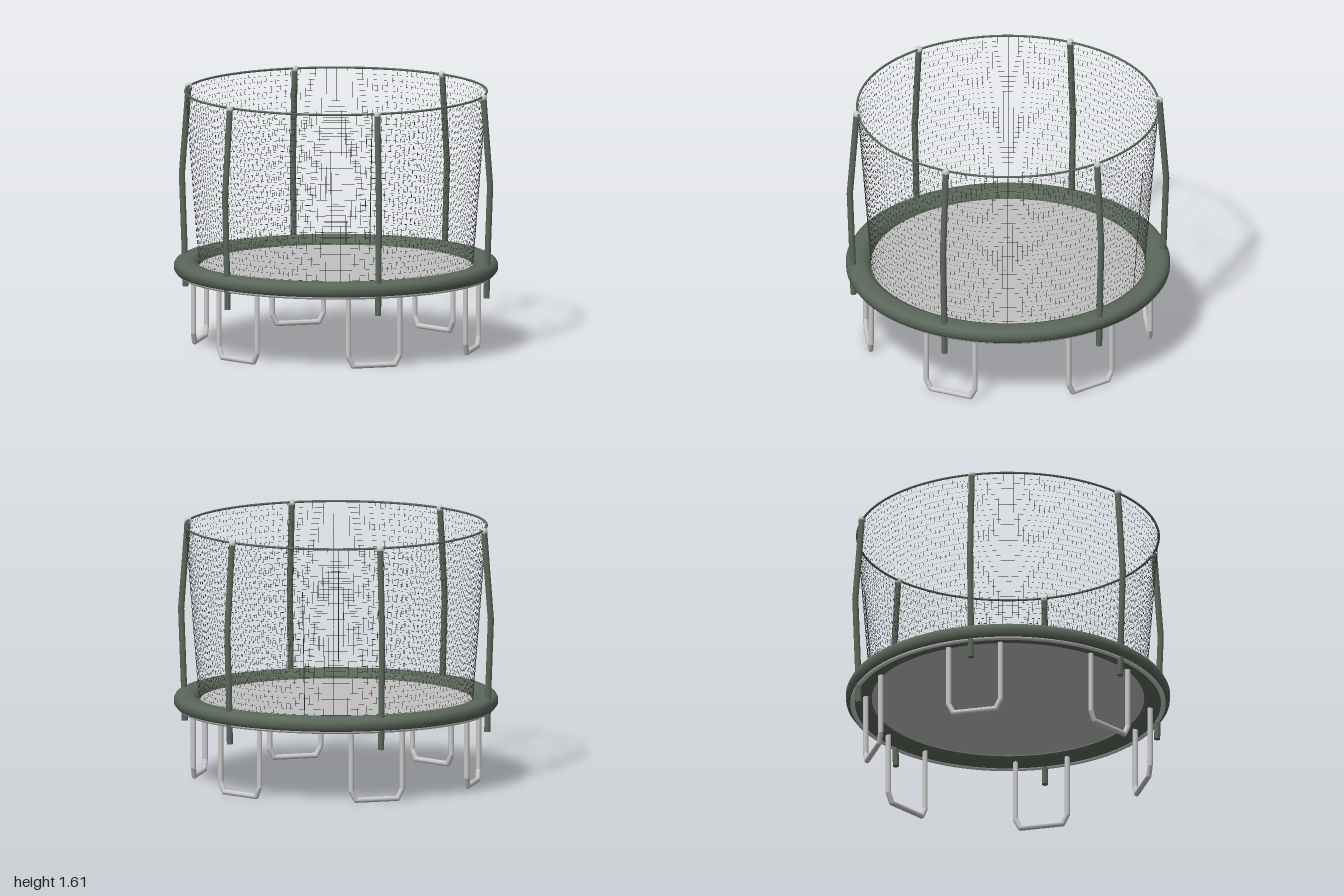
import * as THREE from 'three';
import { mergeGeometries } from 'three/addons/utils/BufferGeometryUtils.js';

const mat = (name, color, side = THREE.FrontSide) => {
  const m = new THREE.MeshStandardMaterial({ color, side });
  m.name = name;
  return m;
};

const V = (x, y, z) => new THREE.Vector3(x, y, z);

// Round bar between two points
function bar(a, b, r, sides = 12, open = false) {
  const d = b.clone().sub(a);
  const g = new THREE.CylinderGeometry(r, r, d.length(), sides, 1, open);
  g.applyQuaternion(new THREE.Quaternion().setFromUnitVectors(V(0, 1, 0), d.normalize()));
  const c = a.clone().add(b).multiplyScalar(0.5);
  return g.translate(c.x, c.y, c.z);
}

// Bent tube: bars joined with balls at the bends
function bentTube(points, r) {
  const parts = [];
  points.forEach((p, i) => {
    if (i > 0) parts.push(bar(points[i - 1], p, r));
    if (i > 0 && i < points.length - 1) {
      parts.push(new THREE.SphereGeometry(r, 12, 8).translate(p.x, p.y, p.z));
    }
  });
  return mergeGeometries(parts);
}

const ring = (radius, tube, y, sides, steps) =>
  new THREE.TorusGeometry(radius, tube, sides, steps).rotateX(Math.PI / 2).translate(0, y, 0);

export function createModel() {
  const group = new THREE.Group();
  group.name = 'trampoline';

  const green = mat('padGreen', 0x5c685c);
  const steel = mat('steel', 0xcacaca);
  const matGrey = mat('matGrey', 0xc0c1c0, THREE.DoubleSide);
  const netDark = mat('netDark', 0x303230, THREE.DoubleSide);

  const add = (name, geo, material, parent = group) => {
    const m = new THREE.Mesh(geo, material);
    m.name = name;
    parent.add(m);
    return m;
  };

  // Padded rim
  const profile = [
    [0.84, 0.49], [0.87, 0.463], [0.95, 0.455], [0.982, 0.463], [0.998, 0.485],
    [1.0, 0.515], [0.988, 0.538], [0.965, 0.55], [0.9, 0.55], [0.86, 0.535], [0.84, 0.49],
  ].map(([r, y]) => new THREE.Vector2(r, y));
  add('rimPad', new THREE.LatheGeometry(profile, 96), green);

  // Steel frame under the pad
  add('frameRing', ring(0.957, 0.0145, 0.459, 10, 96), steel);

  // Jumping mat
  add('jumpingMat', new THREE.CircleGeometry(0.85, 96).rotateX(-Math.PI / 2).translate(0, 0.5, 0), matGrey);

  // Six poles and six U-shaped legs
  const poleGeo = bentTube([V(0.957, 0.34, 0), V(0.963, 0.58, 0), V(0.98, 1.04, 0), V(0.938, 1.585, 0)], 0.0195);
  const capGeo = new THREE.SphereGeometry(0.0225, 16, 12).translate(0.937, 1.588, 0);
  const lx = 0.865, half = 0.164, foot = 0.134;
  const legGeo = bentTube([
    V(lx, 0.475, half), V(lx, 0.075, half), V(lx, 0.0165, foot),
    V(lx, 0.0165, -foot), V(lx, 0.075, -half), V(lx, 0.475, -half),
  ], 0.0165);
  for (let i = 0; i < 6; i++) {
    const post = new THREE.Group();
    post.name = `post${i + 1}`;
    post.rotation.y = (i * Math.PI) / 3;
    add('pole', poleGeo, green, post);
    add('poleCap', capGeo, steel, post);
    add('leg', legGeo, steel, post);
    group.add(post);
  }

  // Hoop holding the top of the net
  add('topHoop', ring(0.93, 0.007, 1.593, 8, 96), green);

  // Safety net: thin threads on a cone that widens upward
  const y0 = 0.51, y1 = 1.59, r0 = 0.845, r1 = 0.928, rows = 32, columns = 180;
  const threads = [];
  for (let i = 0; i < rows; i++) {
    const t = i / rows;
    threads.push(ring(r0 + (r1 - r0) * t, 0.0006, y0 + (y1 - y0) * t, 3, 96));
  }
  for (let i = 0; i < columns; i++) {
    const a = (i / columns) * Math.PI * 2;
    const c = Math.cos(a), s = Math.sin(a);
    threads.push(bar(V(r0 * c, y0, r0 * s), V(r1 * c, y1, r1 * s), 0.0005, 3, true));
  }
  add('net', mergeGeometries(threads), netDark);

  // Zip of the net door at the back
  add('netZip', bar(V(0, 0.51, -0.847), V(0, 1.32, -0.909), 0.0025, 6), netDark);

  return group;
}
